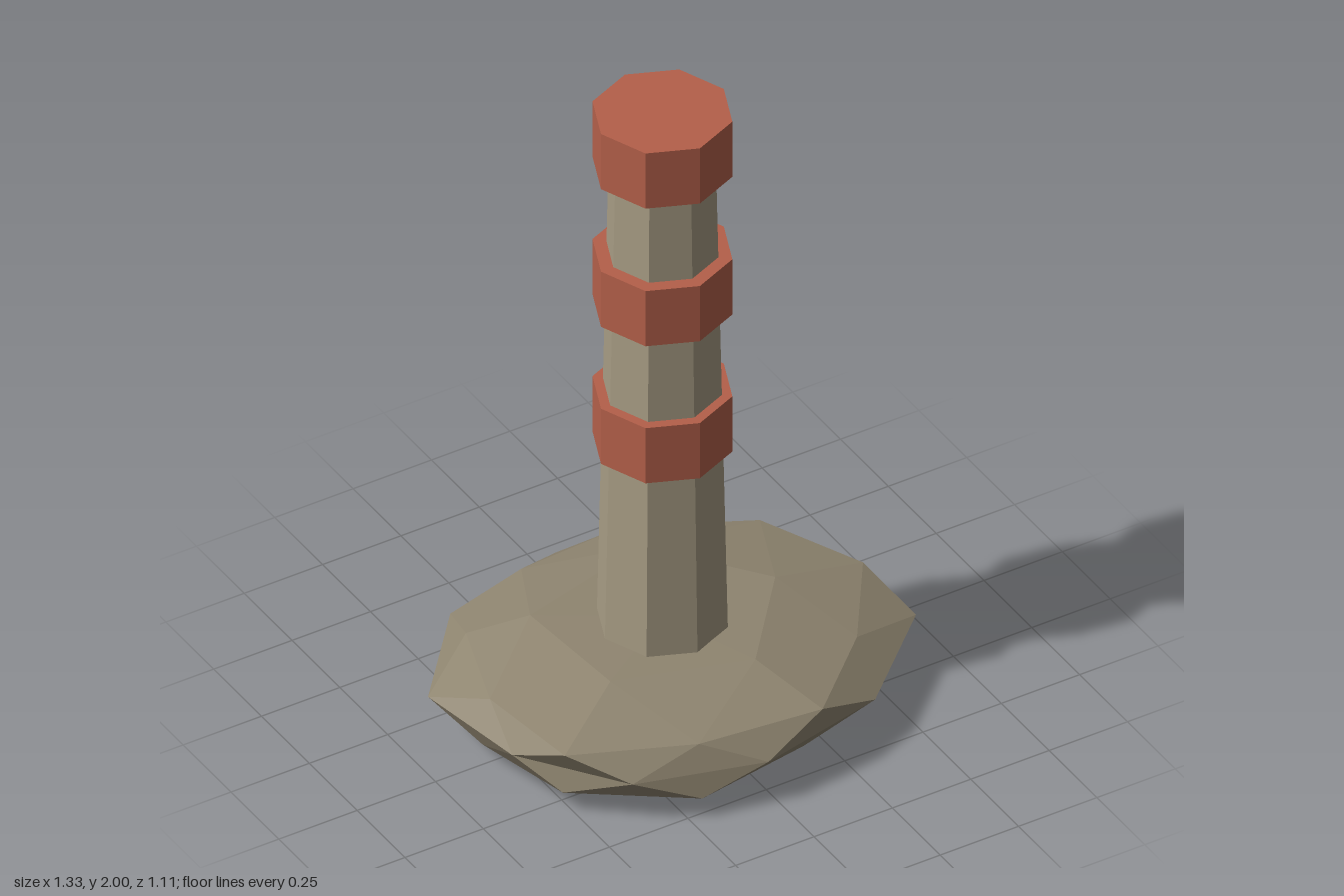
import * as THREE from 'three';

const CX = -0.026; // post axis

const material = (color) => new THREE.MeshStandardMaterial({ color, flatShading: true });

// Irregular boulder: an equator of ten points, closed above and below by
// a ring of ten, a ring of five and a pole. Rings hold [x, z] pairs.
function rockGeometry() {
  const equator = [[.69, .195], [.395, .465], [0, .555], [-.37, .45], [-.58, .165],
    [-.638, -.18], [-.39, -.47], [0, -.557], [.38, -.455], [.63, -.18]];
  const upperRing = [[.64, 0], [.45, .28], [.2, .51], [-.17, .47], [-.51, .325],
    [-.55, 0], [-.45, -.29], [-.17, -.46], [.17, -.48], [.5, -.31]];
  const lowerRing = [[.595, 0], [.5, .33], [.17, .46], [-.19, .52], [-.5, .3],
    [-.573, 0], [-.45, -.29], [-.18, -.5], [.17, -.47], [.48, -.33]];
  const upperInner = [[.36, 0], [.12, .29], [-.27, .17], [-.3, -.2], [.12, -.31]];
  const lowerInner = [[.27, .19], [-.11, .31], [-.37, 0], [-.11, -.3], [.28, -.2]];

  const positions = [];
  const at = (ring, y) => ring.map(([x, z]) => [x, y, z]);
  const pick = (ring, i) => ring[(i + ring.length) % ring.length];
  const E = at(equator, 0.14);

  function half(R, T, pole, shift, up) {
    const tri = (a, b, c) => positions.push(...a, ...(up ? c : b), ...(up ? b : c));
    // outer band
    for (let j = 0; j < 10; j++) {
      tri(R[j], pick(E, j - 1), E[j]);
      tri(R[j], E[j], pick(R, j + 1));
    }
    // shoulder and cap
    for (let i = 0; i < 5; i++) {
      const k = 2 * i + shift;
      const next = pick(T, i + 1);
      tri(T[i], pick(R, k - 1), pick(R, k));
      tri(T[i], pick(R, k), pick(R, k + 1));
      tri(T[i], pick(R, k + 1), next);
      tri(pole, T[i], next);
    }
  }
  half(at(upperRing, 0.213), at(upperInner, 0.273), [0, 0.28, 0], 0, true);
  half(at(lowerRing, 0.067), at(lowerInner, 0.012), [0, 0, 0], 1, false);

  const geometry = new THREE.BufferGeometry();
  geometry.setAttribute('position', new THREE.Float32BufferAttribute(positions, 3));
  geometry.computeVertexNormals();
  return geometry;
}

export function createModel() {
  const model = new THREE.Group();
  model.name = 'bandedPost';

  const add = (name, geometry, mat, y) => {
    const mesh = new THREE.Mesh(geometry, mat);
    mesh.name = name;
    mesh.position.set(CX, y, 0);
    model.add(mesh);
  };

  // Stone foot
  add('rockBase', rockGeometry(), material(0x8f8570), 0);

  // Tapered octagonal post
  add('post', new THREE.CylinderGeometry(0.148, 0.186, 1.8, 8), material(0xa79c84), 1.05);

  // Red bands, the last one capping the post
  const red = material(0xb4604a);
  const band = new THREE.CylinderGeometry(0.196, 0.196, 0.188, 8);
  [['lowerBand', 0.97], ['middleBand', 1.437], ['topBand', 1.906]]
    .forEach(([name, y]) => add(name, band, red, y));

  return model;
}
